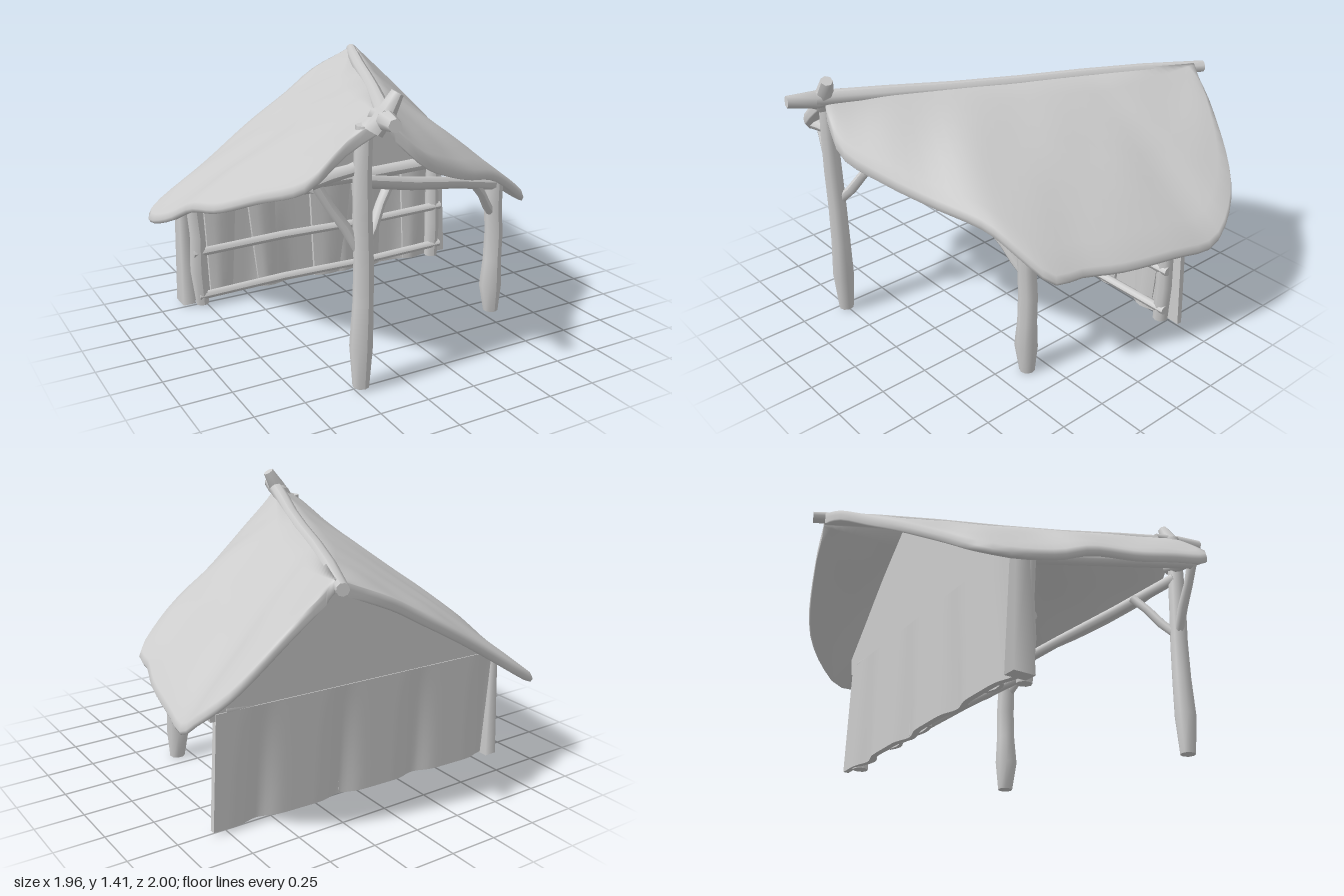
import * as THREE from 'three';

const V = (p) => new THREE.Vector3(...p);

export function createModel() {
  const group = new THREE.Group();
  const grey = new THREE.MeshStandardMaterial({ color: 0xcccccc });
  grey.name = 'paleGrey';

  function add(name, geometry) {
    const mesh = new THREE.Mesh(geometry, grey);
    mesh.name = name;
    group.add(mesh);
    return mesh;
  }

  // Rough log from a to b; radii are spread evenly along its length
  function log(name, a, b, radii, sides = 9) {
    const from = V(a), to = V(b), dir = to.clone().sub(from), len = dir.length();
    const rows = radii.length - 1;
    const g = new THREE.CylinderGeometry(1, 1, len, sides, rows);
    const p = g.attributes.position;
    for (let i = 0; i < p.count; i++) {
      const t = p.getY(i) / len + 0.5;
      const r = radii[Math.round(t * rows)];
      p.setX(i, p.getX(i) * r + 0.006 * Math.sin(t * 9 + a[0] * 5));
      p.setZ(i, p.getZ(i) * r);
    }
    g.applyQuaternion(new THREE.Quaternion().setFromUnitVectors(new THREE.Vector3(0, 1, 0), dir.normalize()));
    g.translate((from.x + to.x) / 2, (from.y + to.y) / 2, (from.z + to.z) / 2);
    g.computeVertexNormals();
    return add(name, g);
  }

  // Thick thatch sheet ruled from the ridge to an eave outline (front to rear)
  function roofSlope(name, ridgeA, ridgeB, outline, flip, bulge) {
    const n = 44, cols = 8, pos = [], idx = [];
    const curve = new THREE.CatmullRomCurve3(outline.map(V), false, 'centripetal');
    const A = V(ridgeA), B = V(ridgeB);
    const ring = [];
    for (let j = 0; j <= cols; j++) ring.push([j / cols, 0]);
    ring.push([1.015, -0.025], [1.005, -0.05]);
    for (let j = cols; j >= 0; j--) ring.push([j / cols * 0.985, -0.06]);
    const m = ring.length;
    for (let i = 0; i <= n; i++) {
      const t = i / n;
      const top = A.clone().lerp(B, t), edge = curve.getPointAt(t);
      const span = top.distanceTo(edge);
      for (const [s, drop] of ring) {
        const q = top.clone().lerp(edge, s);
        const inside = Math.sin(Math.PI * Math.min(s, 1));
        q.y += drop + inside * span * bulge + inside * 0.008 * Math.sin(q.x * 13 + 2) * Math.sin(q.z * 11);
        pos.push(q.x, q.y, q.z);
      }
    }
    const quad = (a, b, c, d) => (flip ? idx.push(a, c, b, a, d, c) : idx.push(a, b, c, a, c, d));
    for (let i = 0; i < n; i++) {
      for (let j = 0; j < m; j++) {
        const k = (j + 1) % m;
        quad(i * m + j, i * m + k, (i + 1) * m + k, (i + 1) * m + j);
      }
    }
    // End caps
    for (let j = 0; j < m / 2 - 1; j++) {
      quad(j, m - 1 - j, m - 2 - j, j + 1);
      const o = n * m;
      quad(o + j, o + j + 1, o + m - 2 - j, o + m - 1 - j);
    }
    const g = new THREE.BufferGeometry();
    g.setAttribute('position', new THREE.Float32BufferAttribute(pos, 3));
    g.setIndex(idx);
    g.computeVertexNormals();
    add(name, g);
  }

  const ridgeFront = [-0.38, 1.335, 0.82], ridgeRear = [0.43, 1.28, -0.92];

  roofSlope('rightRoofSlope', ridgeFront, ridgeRear, [
    [-0.34, 1.25, 0.84], [-0.2, 1.12, 0.86], [0, 1.02, 0.76], [0.2, 0.94, 0.64],
    [0.45, 0.86, 0.5], [0.6, 0.77, 0.44], [0.75, 0.66, 0.35], [0.78, 0.65, 0.2],
    [0.85, 0.63, 0], [0.92, 0.62, -0.3], [0.96, 0.61, -0.52], [0.95, 0.68, -0.62],
    [0.85, 0.83, -0.77], [0.6, 1.11, -0.88], [0.47, 1.23, -0.91],
  ], false, 0.015);

  roofSlope('leftRoofSlope', ridgeFront, ridgeRear, [
    [-0.42, 1.29, 0.82], [-0.55, 1.21, 0.79], [-0.7, 1.08, 0.77], [-0.74, 1.02, 0.68],
    [-0.8, 0.92, 0.42], [-0.88, 0.79, 0.1], [-0.91, 0.71, -0.2], [-0.95, 0.6, -0.42],
    [-0.97, 0.52, -0.68], [-0.93, 0.53, -0.77], [-0.84, 0.58, -0.8], [-0.62, 0.72, -0.8],
    [-0.3, 0.91, -0.87], [-0.05, 1.05, -0.9], [0.15, 1.16, -0.95], [0.38, 1.26, -0.94],
  ], true, 0.025);

  // Ridge pole with crossed ends at the front
  log('ridgePole', [-0.39, 1.3, 0.86], [0.435, 1.253, -0.985], [0.042, 0.04, 0.037, 0.036, 0.036, 0.036, 0.03]);
  log('ridgePeg', [-0.43, 1.31, 0.995], [-0.37, 1.29, 0.72], [0.03, 0.045, 0.04], 7);
  log('crossPeg', [-0.43, 1.24, 0.81], [-0.33, 1.41, 0.83], [0.045, 0.045, 0.03], 7);

  // Posts: base to top
  log('frontPost', [-0.46, 0.02, 0.755], [-0.455, 1.27, 0.77], [0.04, 0.056, 0.05, 0.047, 0.046, 0.043, 0.04]);
  log('sidePost', [0.57, 0.01, 0.35], [0.565, 0.76, 0.35], [0.04, 0.06, 0.05, 0.049, 0.047, 0.05]);
  log('rearPostLeftEnd', [-0.78, 0.02, -0.48], [-0.795, 0.62, -0.48], [0.035, 0.045, 0.042, 0.042]);
  log('rearPostRightEnd', [0.72, 0.02, -0.475], [0.72, 0.66, -0.475], [0.04, 0.045, 0.04, 0.04]);

  // Beams, braces and rails
  const poles = [
    ['eaveBeam', [-0.47, 1.01, 0.75], [0.58, 0.73, 0.35], 0.032],
    ['gableBeam', [-0.69, 1.03, 0.72], [-0.42, 1.09, 0.75], 0.032],
    ['leftEaveBeam', [-0.66, 1.0, 0.68], [-0.8, 0.6, -0.5], 0.03],
    ['rearTopBeam', [-0.8, 0.6, -0.51], [0.74, 0.61, -0.485], 0.042],
    ['brace', [-0.45, 0.68, 0.75], [-0.25, 0.95, 0.64], 0.026],
    ['brace', [-0.47, 0.7, 0.75], [-0.66, 1.02, 0.7], 0.026],
    ['brace', [0.56, 0.56, 0.35], [0.39, 0.78, 0.42], 0.026],
    ['middleRail', [-0.82, 0.33, -0.465], [0.76, 0.335, -0.455], 0.026],
    ['lowerRail', [-0.8, 0.075, -0.465], [0.76, 0.09, -0.455], 0.024],
  ];
  for (const [name, a, b, r] of poles) log(name, a, b, [r * 0.95, r, r * 0.92, r], 8);

  // Rear wall stands slightly askew
  const wallZ = (x) => -0.53 + 0.04 * x;

  // Rear wall: a thick sheet with a few sharp folds opening toward its foot
  const wall = new THREE.BoxGeometry(1.64, 0.59, 0.03, 72, 6, 1);
  const p = wall.attributes.position;
  for (let i = 0; i < p.count; i++) {
    const x = p.getX(i), low = 0.5 - p.getY(i) / 0.59;
    const fold = Math.pow(Math.abs(Math.sin(x * 7 + 0.6)), 8) * 0.03 * low;
    const nx = x * (1 + 0.035 * low) - 0.025;
    p.setXYZ(i, nx, p.getY(i) + 0.32, p.getZ(i) + wallZ(nx) - 0.01 + fold);
  }
  wall.computeVertexNormals();
  add('rearWall', wall);

  // Gable panel closing the space between wall and roof
  const gableShape = new THREE.Shape([
    [-0.86, 0.55], [0.82, 0.58], [0.84, 0.68], [0.62, 0.93], [0.27, 1.25],
    [-0.1, 1.03], [-0.45, 0.82], [-0.86, 0.57],
  ].map(([x, y]) => new THREE.Vector2(x, y)));
  const gable = new THREE.ExtrudeGeometry(gableShape, { depth: 0.025, bevelEnabled: false });
  const gp = gable.attributes.position;
  for (let i = 0; i < gp.count; i++) gp.setZ(i, gp.getZ(i) + wallZ(gp.getX(i)) - 0.02);
  gable.computeVertexNormals();
  add('gablePanel', gable);

  // Flared board closing the left end of the wall
  const endBoard = new THREE.CylinderGeometry(0.045, 0.07, 0.59, 4, 1);
  endBoard.rotateY(Math.PI / 4).scale(0.7, 1, 1.1);
  add('wallEndBoard', endBoard.toNonIndexed()).position.set(-0.845, 0.315, -0.55);

  // Upright strips overlapping the inside of the wall
  for (const [x, w, lean] of [[-0.64, 0.17, 0.01], [-0.36, 0.15, -0.03], [0.02, 0.24, 0.02], [0.29, 0.17, -0.02], [0.58, 0.16, 0.01]]) {
    const g = new THREE.BoxGeometry(w, 0.56, 0.02, 4, 4, 1);
    const q = g.attributes.position;
    for (let i = 0; i < q.count; i++) {
      const up = q.getY(i) / 0.56 + 0.5, u = q.getX(i) / w;
      q.setX(i, q.getX(i) * (0.75 + 0.35 * up) + lean * up);
      q.setZ(i, q.getZ(i) + 0.02 * Math.cos(u * Math.PI));
    }
    g.computeVertexNormals();
    add('wallStrip', g).position.set(x, 0.31, wallZ(x) + 0.015);
  }

  return group;
}
